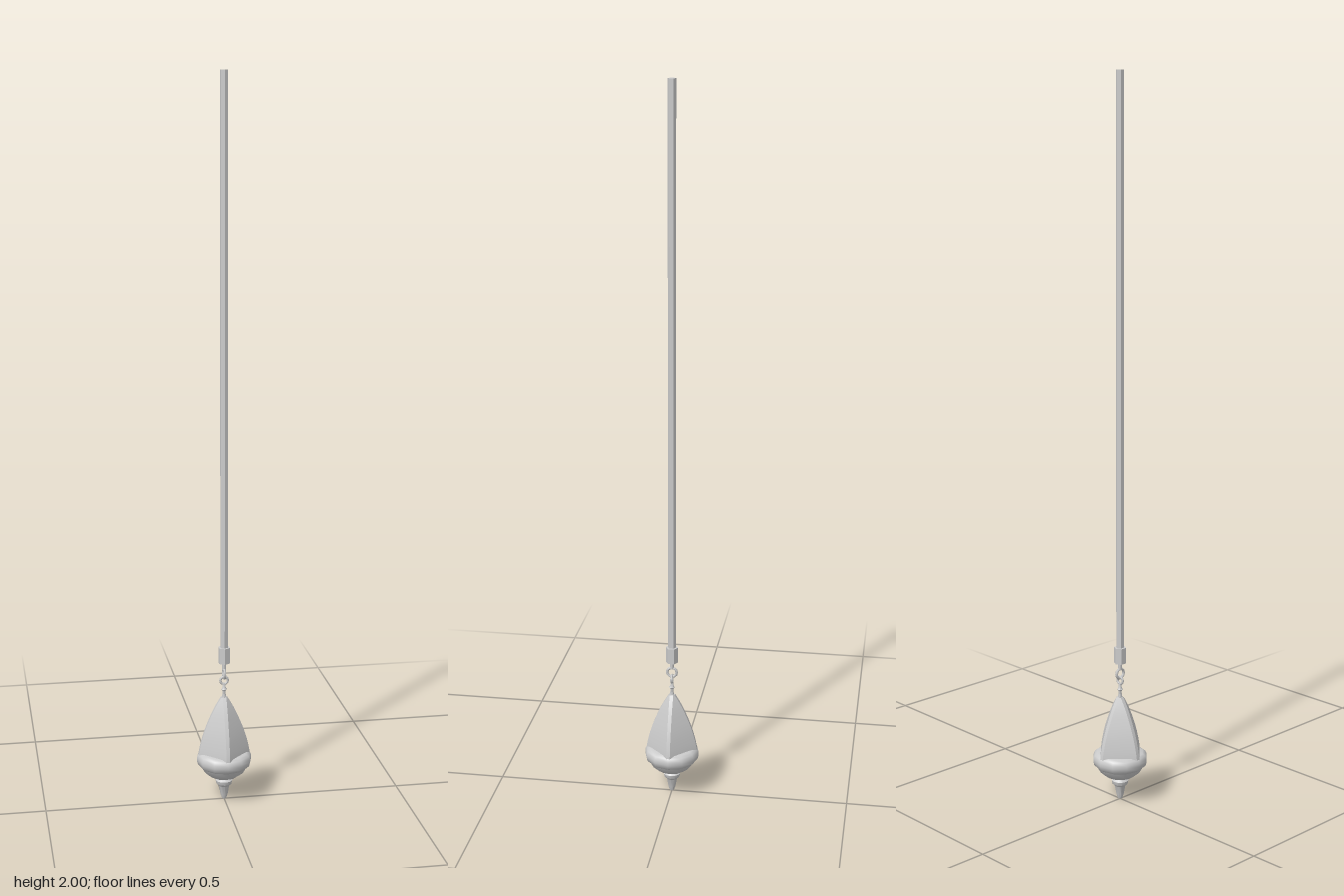
import * as THREE from 'three';
import { mergeGeometries, toCreasedNormals } from 'three/addons/utils/BufferGeometryUtils.js';

export function createModel() {
  const model = new THREE.Group();
  const material = new THREE.MeshStandardMaterial({ color: 0xcccccc });

  const add = (name, geometry, y = 0) => {
    const mesh = new THREE.Mesh(geometry, material);
    mesh.name = name;
    mesh.position.y = y;
    model.add(mesh);
    return mesh;
  };
  const hexBar = (name, radius, y0, y1) =>
    add(name, toCreasedNormals(new THREE.CylinderGeometry(radius, radius, y1 - y0, 6), 0.6), (y0 + y1) / 2);
  const turned = (name, points, sides, crease) =>
    add(name, toCreasedNormals(
      new THREE.LatheGeometry(points.map(p => new THREE.Vector2(...p)), sides), crease));

  // Long cord and its end collar
  hexBar('cord', 0.011, 0.44, 2);
  hexBar('collar', 0.017, 0.402, 0.447);
  hexBar('collarStem', 0.006, 0.382, 0.404);

  // Two interlocked rings
  const upperRing = add('upperRing', new THREE.TorusGeometry(0.0135, 0.004, 6, 12), 0.371);
  upperRing.rotation.y = Math.PI / 2;
  add('lowerRing', new THREE.TorusGeometry(0.0105, 0.0035, 6, 12), 0.351);

  // Thin stem with a small bead
  turned('stem', [[0, 0.295], [0.008, 0.297], [0.0045, 0.312], [0.0045, 0.32],
    [0.008, 0.325], [0.0045, 0.331], [0.004, 0.343], [0, 0.344]], 8, 0.6);

  // Four-sided curved handle: flat faces between narrow ridge strips on the axes
  const profile = new THREE.SplineCurve([[0.008, 0.303], [0.022, 0.28], [0.037, 0.25],
    [0.057, 0.2], [0.07, 0.15], [0.073, 0.12]].map(p => new THREE.Vector2(...p)));
  const rows = 12, ridge = 0.005;
  const strips = [];
  for (let i = 0; i < 4; i++) {
    for (const isRidge of [true, false]) {
      const strip = new THREE.PlaneGeometry(1, 1, 1, rows);
      const pos = strip.attributes.position;
      for (let v = 0; v < pos.count; v++) {
        const p = profile.getPoint(Math.floor(v / 2) / rows);
        const rightSide = v % 2 === 1;
        if (isRidge) pos.setXYZ(v, rightSide ? ridge : -ridge, p.y, p.x);
        else if (rightSide) pos.setXYZ(v, p.x, p.y, ridge);
        else pos.setXYZ(v, ridge, p.y, p.x);
      }
      strip.computeVertexNormals();
      strips.push(strip.rotateY(i * Math.PI / 2));
    }
  }
  const cap = new THREE.CylinderGeometry(0.0085, 0.0085, 0.002, 8).translate(0, 0.302, 0);
  add('handle', mergeGeometries([...strips, cap]));

  // Rounded twelve-sided rim around the foot of the handle
  turned('rim', [[0, 0.1], [0.066, 0.1], [0.074, 0.107], [0.077, 0.118], [0.077, 0.127],
    [0.073, 0.136], [0.065, 0.141], [0.05, 0.142], [0, 0.142]], 12, 0.8);

  // Bowl under the rim
  turned('bowl', [[0, 0.062], [0.02, 0.065], [0.04, 0.072], [0.056, 0.084],
    [0.066, 0.102], [0, 0.104]], 12, 0.8);

  // Flange and tapered tip
  turned('tip', [[0, 0], [0.006, 0.002], [0.0105, 0.015], [0.015, 0.04], [0.022, 0.047],
    [0.024, 0.057], [0.018, 0.063], [0.018, 0.07], [0, 0.07]], 12, 0.6);

  return model;
}
